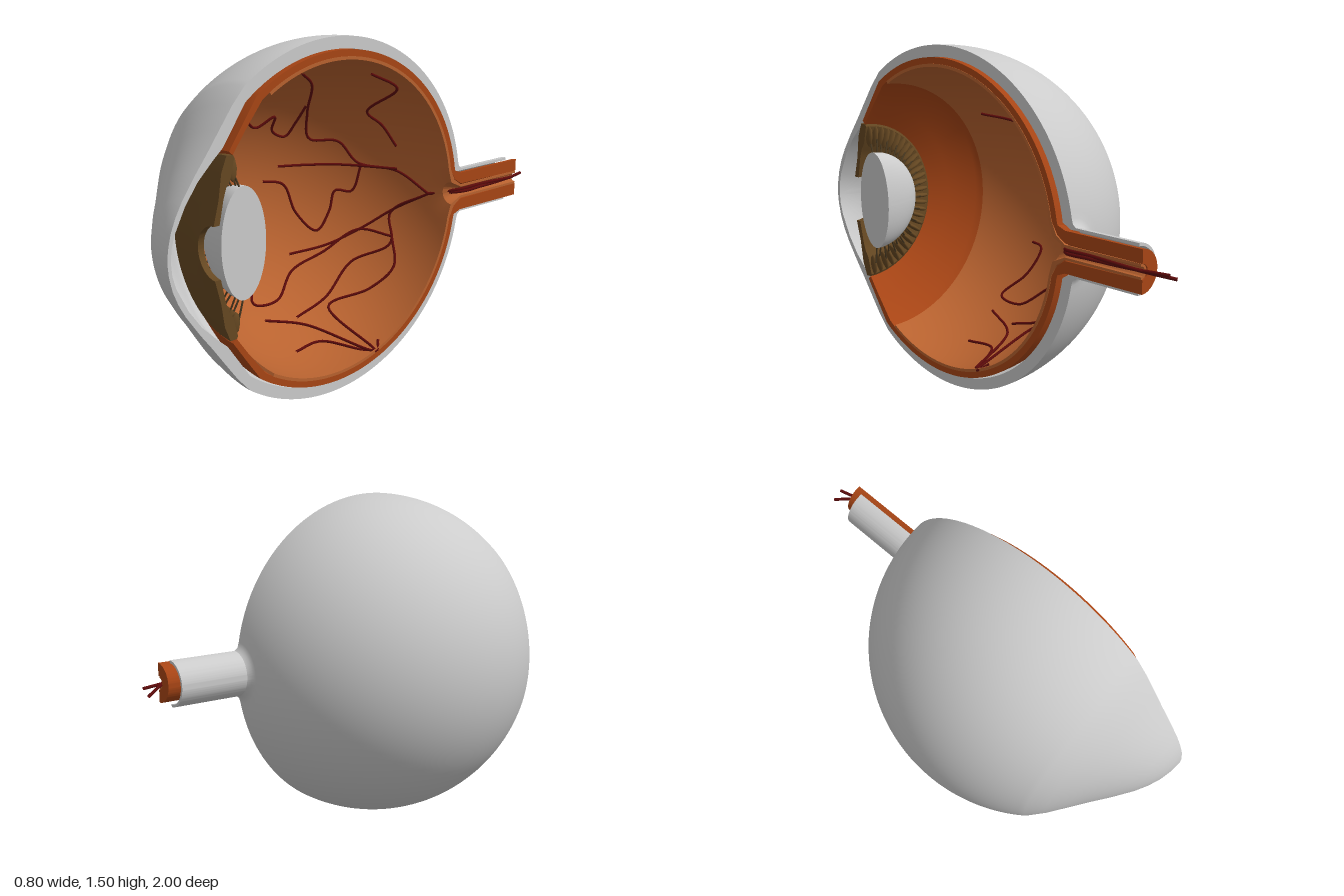
import * as THREE from 'three';
import { toCreasedNormals } from 'three/addons/utils/BufferGeometryUtils.js';

const CZ = 0.2, CUT = 0.378, MID = 0.755;
const mat = (color) => new THREE.MeshStandardMaterial({ color, roughness: 0.7, side: THREE.DoubleSide });
const GREY = mat(0xcccccc), CHOROID = mat(0xa84515), RETINA = mat(0xb8622f);
const BROWN = mat(0x664822), FIBRE = mat(0x4a3a22), VESSEL = mat(0x5c0a0a);

// Points [r, z] of a circular arc around the globe centre, angle from the back
function arc(R, a0, a1, n = 40) {
  return Array.from({ length: n + 1 }, (_, i) => {
    const a = a0 + (a1 - a0) * i / n;
    return [R * Math.sin(a), CZ - R * Math.cos(a)];
  });
}

// Half-turned solid about the z axis with a flat cut face towards +x
function halfSolid(name, profile, x, y, material) {
  const pts = profile.map(([r, z]) => new THREE.Vector2(r, z));
  if (THREE.ShapeUtils.isClockWise(pts)) pts.reverse();
  const group = new THREE.Group();
  group.name = name;
  const lathe = new THREE.LatheGeometry([...pts, pts[0].clone()], 64, Math.PI, Math.PI);
  lathe.rotateX(Math.PI / 2);
  const body = new THREE.Mesh(toCreasedNormals(lathe, 0.6), material);
  body.name = name + 'Shell';
  group.add(body);
  for (const s of [1, -1]) {
    const shape = new THREE.Shape(pts.map((p) => new THREE.Vector2(-p.y, s * p.x)));
    const cap = new THREE.Mesh(new THREE.ShapeGeometry(shape).rotateY(Math.PI / 2), material);
    cap.name = name + 'CutFace';
    group.add(cap);
  }
  group.position.set(x, y, 0);
  return group;
}

// Tube through [z, y] points laid on the retina, or [z, y, x] points in free space
function vessel(path, radius) {
  const pts = path.map(([z, y, x]) => {
    const d = 0.65 ** 2 - (z - CZ) ** 2 - (y - MID) ** 2;
    return new THREE.Vector3(x ?? CUT - Math.sqrt(Math.max(d, 0)), y, z);
  });
  const curve = new THREE.CatmullRomCurve3(pts, false, 'centripetal');
  const mesh = new THREE.Mesh(new THREE.TubeGeometry(curve, pts.length * 9, radius, 7), VESSEL);
  mesh.name = 'bloodVessel';
  return mesh;
}

export function createModel() {
  const model = new THREE.Group();
  model.name = 'eyeCrossSection';

  // White outer coat with the bulging cornea and the nerve sheath
  model.add(halfSolid('sclera', [
    [0.1, -0.87], [0.1, -0.56], [0.112, -0.545], ...arc(0.75, 0.18, 2.2, 56),
    [0.54, 0.7], [0.45, 0.765], [0.38, 0.815], [0.31, 0.868], [0.22, 0.93], [0.165, 0.96], [0.11, 0.982], [0.05, 0.996], [0, 1],
    [0, 0.985], [0.05, 0.981], [0.1, 0.967], [0.2, 0.917], [0.28, 0.86], [0.35, 0.79], [0.39, 0.745],
    ...arc(0.7, 2.25, 0.16, 56), [0.09, -0.53], [0.088, -0.87],
  ], 0.35, 0.75, GREY));

  // Middle coat running back into the optic nerve
  model.add(halfSolid('choroidAndNerve', [
    [0.085, -0.91], [0.085, -0.53], [0.1, -0.49], ...arc(0.695, 0.17, 2.2, 56), [0.46, 0.68], [0.375, 0.738],
    [0.36, 0.722], [0.44, 0.665], ...arc(0.667, 2.18, 0.17, 56), [0.06, -0.49], [0.035, -0.53], [0.03, -0.91],
  ], CUT, MID, CHOROID));

  // Inner lining, ending in a step behind the lens
  model.add(halfSolid('retina', [
    [0.03, -0.905], [0.03, -0.53], [0.06, -0.485], ...arc(0.668, 0.17, 2.12, 56),
    ...arc(0.655, 2.12, 0.17, 56), [0.05, -0.465], [0.02, -0.53], [0.02, -0.905],
  ], CUT + 0.002, MID, RETINA));

  // Iris around the pupil, thickened at its root
  model.add(halfSolid('iris', [
    [0.36, 0.72], [0.362, 0.75], [0.3, 0.775], [0.2, 0.79], [0.105, 0.815],
    [0.105, 0.788], [0.2, 0.768], [0.24, 0.755], [0.27, 0.735], [0.35, 0.715],
  ], CUT, MID, BROWN));

  // Lens
  const lens = Array.from({ length: 33 }, (_, i) => {
    const a = Math.PI * i / 32;
    return [0.225 * Math.sin(a), 0.675 - 0.105 * Math.cos(a)];
  });
  model.add(halfSolid('lens', lens, CUT - 0.004, 0.765, GREY));

  // Ciliary ridges and the fibres holding the lens
  const ciliary = new THREE.Group();
  ciliary.name = 'ciliaryBody';
  ciliary.position.set(CUT, MID, 0);
  const N = 30;
  for (let i = 0; i < N; i++) {
    const a = Math.PI / 2 + Math.PI * (i + 0.5) / N;
    const at = (r, z) => new THREE.Vector3(r * Math.cos(a), r * Math.sin(a), z);
    const ridge = new THREE.Mesh(new THREE.SphereGeometry(1, 8, 6), BROWN);
    ridge.name = 'ciliaryRidge';
    ridge.scale.set(0.05, 0.01, 0.022);
    ridge.rotation.z = a;
    ridge.position.copy(at(0.305, 0.715));
    const line = new THREE.LineCurve3(at(0.215, 0.68), at(0.3, i % 2 ? 0.7 : 0.715));
    const fibre = new THREE.Mesh(new THREE.TubeGeometry(line, 1, 0.004, 5), FIBRE);
    fibre.name = 'lensFibre';
    ciliary.add(ridge, fibre);
  }
  model.add(ciliary);

  // Branching blood vessels
  const root = [-0.44, 0.735];
  const vessels = new THREE.Group();
  vessels.name = 'bloodVessels';
  const branches = [
    [[0.115, 1.31], [0.01, 1.24], [-0.05, 1.1], [-0.1, 0.965], [-0.21, 0.95], [-0.29, 0.846], [-0.39, 0.82], root],
    [[-0.11, 1.307], [-0.22, 1.24], [-0.25, 1.1], [-0.31, 1.04], [-0.37, 0.94]],
    [[0.44, 1.146], [0.275, 1.114], [0.17, 1.045], [0.09, 1.09], [0.08, 1.02], [0.01, 0.985], [-0.02, 1.055], [-0.03, 1.135]],
    [[0.02, 0.84], [-0.1, 0.837], [-0.23, 0.835], [-0.39, 0.83]],
    [[0.09, 0.777], [-0.01, 0.75], [-0.055, 0.616], [-0.125, 0.53], [-0.19, 0.616], [-0.22, 0.71], [-0.275, 0.71], [-0.3, 0.83]],
    [[0.25, 0.535], [0.19, 0.52], [0.22, 0.4], [0.3, 0.295], [0.17, 0.28], [0.035, 0.375], [-0.125, 0.44], [-0.27, 0.535], [-0.35, 0.52]],
    [[0.02, 0.44], [-0.15, 0.47], [-0.285, 0.545], [-0.38, 0.64], root],
    [[0.13, 0.215], [-0.045, 0.27], [-0.205, 0.4], [-0.34, 0.49], [-0.37, 0.62], root],
    [[0.29, 0.235], [0.115, 0.19], [-0.01, 0.135], [-0.03, 0.24], [-0.205, 0.305], [-0.31, 0.4], [-0.35, 0.51]],
    [[0.26, 0.14], [0.115, 0.145], [-0.02, 0.13], [-0.06, 0.16]],
  ];
  for (const b of branches) vessels.add(vessel(b, 0.006));

  // Trunk vessels leaving through the nerve
  vessels.add(
    vessel([root, [-0.53, 0.762, 0.37], [-0.65, 0.767, 0.38], [-0.8, 0.765, 0.387], [-0.9, 0.752, 0.36], [-1, 0.728, 0.29]], 0.007),
    vessel([root, [-0.54, 0.752, 0.378], [-0.65, 0.757, 0.387], [-0.8, 0.755, 0.375], [-0.9, 0.754, 0.36], [-1, 0.752, 0.335]], 0.007),
  );
  model.add(vessels);
  return model;
}
